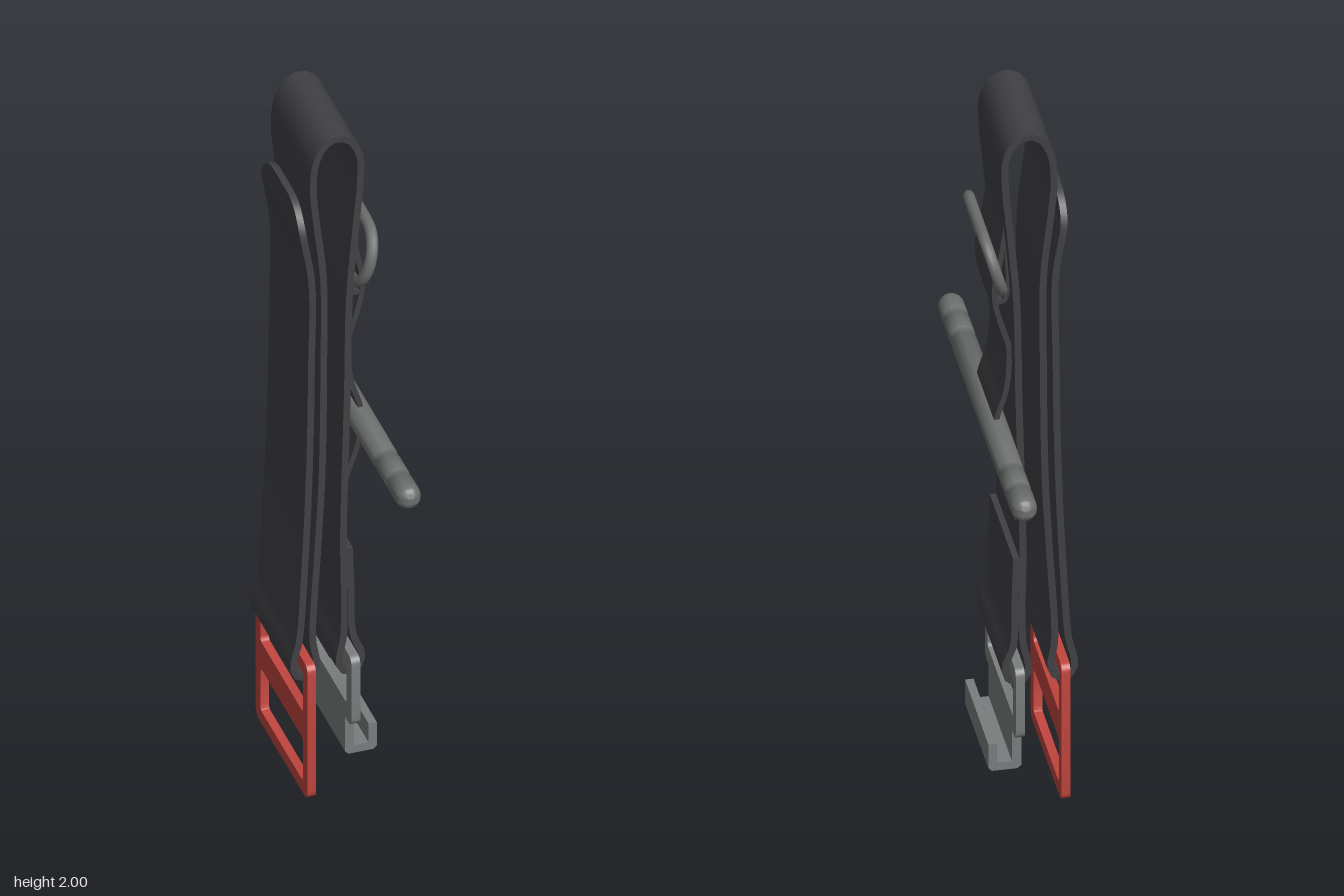
import * as THREE from 'three';
import { toCreasedNormals } from 'three/addons/utils/BufferGeometryUtils.js';

const mat = (name, color) => {
  const m = new THREE.MeshStandardMaterial({ color });
  m.name = name;
  return m;
};

// A band of webbing: an x-y path given thickness, and a half width in z that may vary
function ribbon(points, thick, halfWidth, steps) {
  const curve = new THREE.CatmullRomCurve3(points.map(([x, y]) => new THREE.Vector3(x, y, 0)), false, 'centripetal');
  const length = curve.getLength();
  const pos = [], idx = [];
  for (let i = 0; i <= steps; i++) {
    // finer steps near the start, where the end may be rounded
    const s = i < 10 ? 0.12 * (i / 10) ** 2 : 0.12 + (length - 0.12) * (i - 10) / (steps - 10);
    const p = curve.getPointAt(Math.min(1, s / length));
    const t = curve.getTangentAt(Math.min(1, s / length));
    const nx = -t.y * thick / 2, ny = t.x * thick / 2, w = halfWidth(s);
    pos.push(p.x + nx, p.y + ny, w, p.x + nx, p.y + ny, -w, p.x - nx, p.y - ny, -w, p.x - nx, p.y - ny, w);
    if (i === 0) continue;
    const a = (i - 1) * 4, b = i * 4;
    for (let k = 0; k < 4; k++) {
      const n = (k + 1) % 4;
      idx.push(a + k, b + n, a + n, a + k, b + k, b + n);
    }
  }
  const e = steps * 4;
  idx.push(0, 1, 2, 0, 2, 3, e, e + 2, e + 1, e, e + 3, e + 2);
  const g = new THREE.BufferGeometry();
  g.setAttribute('position', new THREE.Float32BufferAttribute(pos, 3));
  g.setIndex(idx);
  return toCreasedNormals(g, 0.7);
}

// Rounded rectangle outline in (z, y)
function roundRect(path, hw, y0, y1, r) {
  path.moveTo(-hw + r, y0);
  path.lineTo(hw - r, y0);
  path.quadraticCurveTo(hw, y0, hw, y0 + r);
  path.lineTo(hw, y1 - r);
  path.quadraticCurveTo(hw, y1, hw - r, y1);
  path.lineTo(-hw + r, y1);
  path.quadraticCurveTo(-hw, y1, -hw, y1 - r);
  path.lineTo(-hw, y0 + r);
  path.quadraticCurveTo(-hw, y0, -hw + r, y0);
  return path;
}

// Flat buckle plate facing x, with rectangular openings
function plate(x, thick, y0, y1, openings) {
  const shape = roundRect(new THREE.Shape(), 0.203, y0, y1, 0.025);
  for (const [a, b] of openings) shape.holes.push(roundRect(new THREE.Path(), 0.166, a, b, 0.012));
  const g = new THREE.ExtrudeGeometry(shape, { depth: thick, bevelEnabled: false, curveSegments: 5 });
  g.translate(0, 0, -thick / 2);
  g.rotateY(Math.PI / 2);
  g.translate(x, 0, 0);
  return toCreasedNormals(g, 0.7);
}

export function createModel() {
  const model = new THREE.Group();
  const webbing = mat('black webbing', 0x414044);
  const metal = mat('grey metal', 0x7a7d7d);
  const rodGrey = mat('rod grey', 0x6c6e6e);
  const red = mat('red buckle', 0xc0453e);
  const add = (name, geometry, material) => {
    const m = new THREE.Mesh(geometry, material);
    m.name = name;
    model.add(m);
  };

  // Main strap: rounded tail, round the red buckle, over the top, round the hook plate
  const main = [
    [-0.09, 1.785], [-0.09, 1.72], [-0.067, 1.56], [-0.068, 1.3], [-0.073, 1.0], [-0.085, 0.7], [-0.102, 0.45],
    [-0.115, 0.4], [-0.112, 0.36], [-0.085, 0.341], [-0.058, 0.36], [-0.055, 0.4], [-0.064, 0.45],
    [-0.05, 0.75], [-0.04, 0.95], [-0.035, 1.3], [-0.036, 1.57], [-0.055, 1.75], [-0.063, 1.85], [-0.055, 1.93],
    [-0.03, 1.977], [0, 1.991], [0.035, 1.978], [0.061, 1.93], [0.063, 1.85], [0.05, 1.7], [0.034, 1.5],
    [0.028, 1.2], [0.018, 0.78], [0.017, 0.46], [0.004, 0.4], [0.006, 0.36], [0.033, 0.341],
    [0.059, 0.36], [0.062, 0.4], [0.043, 0.45], [0.038, 0.6], [0.034, 0.718],
  ];
  const tail = 0.1;
  const strap = ribbon(main, 0.018, s => {
    const u = 1 - Math.min(1, s / tail);
    return 0.05 + 0.103 * Math.sqrt(1 - u * u);
  }, 220);
  // The fold round the hook plate flares slightly on its left edge
  const p = strap.attributes.position;
  for (let i = 0; i < p.count; i++) {
    if (p.getX(i) > -0.02 && p.getY(i) < 0.5 && p.getZ(i) > 0) {
      p.setZ(i, p.getZ(i) + 0.01 * Math.min(1, (0.5 - p.getY(i)) / 0.08));
    }
  }
  add('mainStrap', strap, webbing);

  // Inner strap: from the ring, through the rod, down to its stitched end
  add('innerStrap', ribbon([
    [0.052, 1.7], [0.06, 1.65], [0.069, 1.59], [0.081, 1.53], [0.082, 1.48], [0.067, 1.41], [0.047, 1.34],
    [0.046, 1.27], [0.054, 1.2], [0.077, 1.12], [0.08, 1.06], [0.066, 0.99], [0.037, 0.9], [0.024, 0.81],
  ], 0.014, () => 0.112, 90), webbing);
  add('innerStrapBackPly', ribbon([
    [0.052, 1.7], [0.05, 1.6], [0.048, 1.51], [0.06, 1.475], [0.08, 1.475],
  ], 0.012, () => 0.112, 30), webbing);

  // Tilted oval ring
  const ringPoints = [];
  for (let i = 0; i < 32; i++) {
    const a = (i + 0.5) / 32 * Math.PI * 2;
    const z = Math.cos(a) * 0.078 + Math.sign(Math.cos(a)) * 0.08;
    const y = 1.583 + Math.sin(a) * 0.079;
    ringPoints.push(new THREE.Vector3(0.063 + (y - 1.504) * 0.28, y, z));
  }
  const ringCurve = new THREE.CatmullRomCurve3(ringPoints, true, 'centripetal');
  add('ring', new THREE.TubeGeometry(ringCurve, 80, 0.0155, 10, true), rodGrey);

  // Rod: rounded ends and two shallow grooves at each end
  const r = 0.034, groove = r - 0.0015;
  const half = [];
  for (const [z, rad] of [[0.303, r], [0.305, groove], [0.328, groove], [0.33, r],
    [0.398, r], [0.4, groove], [0.42, groove], [0.422, r]]) half.push(new THREE.Vector2(rad, z));
  for (let i = 0; i <= 8; i++) {
    const a = i / 8 * Math.PI / 2;
    half.push(new THREE.Vector2(i === 8 ? 0 : r * Math.cos(a), 0.474 + r * Math.sin(a)));
  }
  const profile = [...half.map(v => new THREE.Vector2(v.x, -v.y)).reverse(), ...half];
  const rod = toCreasedNormals(new THREE.LatheGeometry(profile, 24), 0.7);
  rod.rotateX(Math.PI / 2);
  rod.translate(0.079, 1.085, 0);
  add('rod', rod, rodGrey);

  // Red two-slot buckle
  add('redBuckle', plate(-0.084, 0.023, 0, 0.41, [[0.037, 0.168], [0.25, 0.373]]), red);

  // Hook plate: slotted frame with a J-shaped lip below
  add('hookFrame', plate(0.034, 0.024, 0.2, 0.41, [[0.25, 0.373]]), metal);
  const j = new THREE.Shape();
  [[0.022, 0.21], [0.022, 0.092], [0.031, 0.083], [0.098, 0.083], [0.107, 0.092], [0.107, 0.164],
    [0.085, 0.164], [0.085, 0.106], [0.046, 0.106], [0.046, 0.21]]
    .forEach(([x, y], i) => (i ? j.lineTo(x, y) : j.moveTo(x, y)));
  const hook = new THREE.ExtrudeGeometry(j, { depth: 0.306, bevelEnabled: false });
  hook.translate(0, 0, -0.153);
  add('hookLip', hook, metal);

  return model;
}
